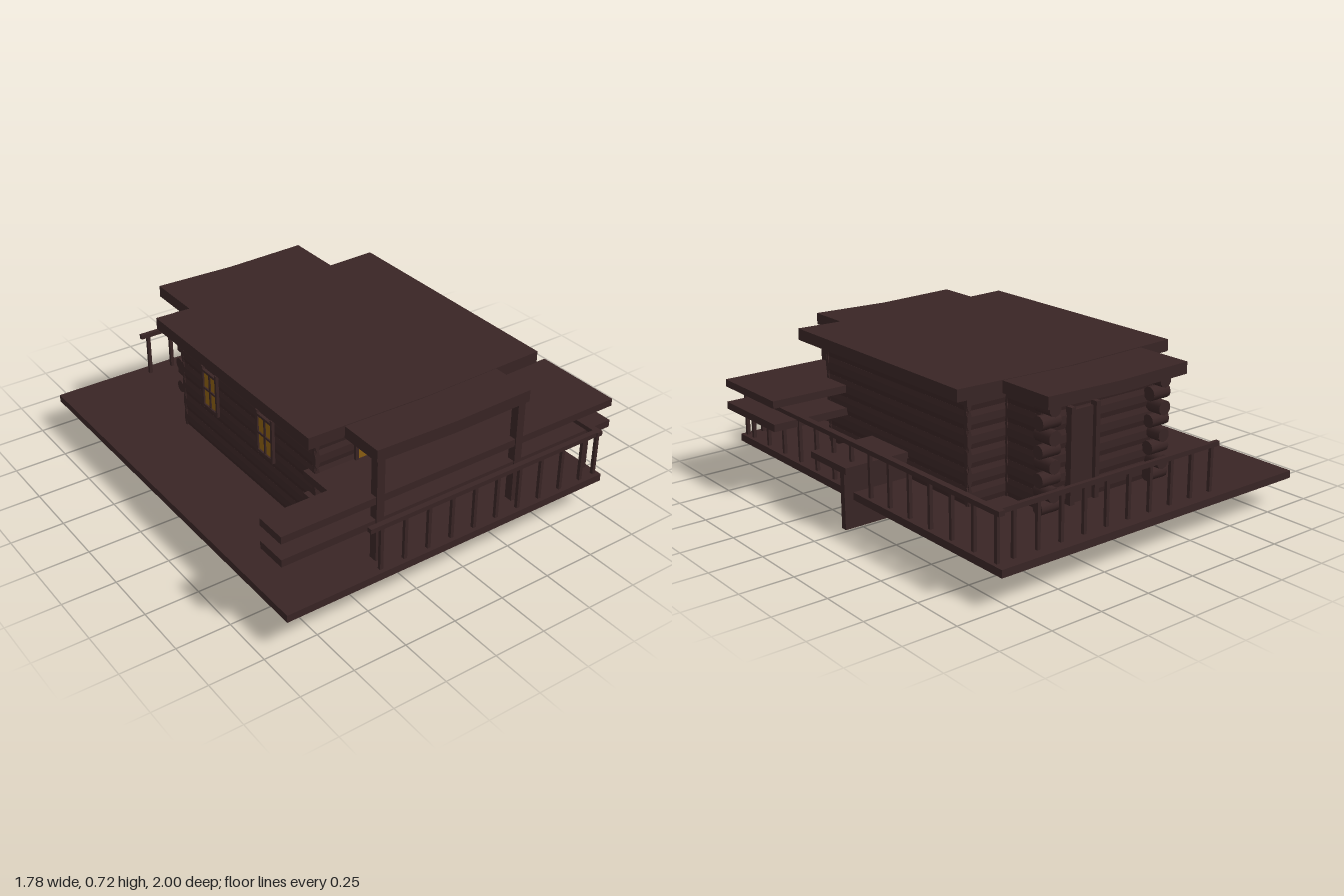
import * as THREE from 'three';

export function createModel() {
  const model = new THREE.Group();
  const wood = new THREE.MeshStandardMaterial({ color: 0x392525 });
  wood.name = 'darkWood';
  const glow = new THREE.MeshStandardMaterial({ color: 0x8b5e12 });
  glow.name = 'amberGlass';

  const add = (name, geometry, material = wood, parent = model) => {
    const mesh = new THREE.Mesh(geometry, material);
    mesh.name = name;
    parent.add(mesh);
    return mesh;
  };
  // Box given by its limits on each axis
  const box = (name, x0, x1, y0, y1, z0, z1, material = wood, parent = model) => {
    const g = new THREE.BoxGeometry(x1 - x0, y1 - y0, z1 - z0);
    g.translate((x0 + x1) / 2, (y0 + y1) / 2, (z0 + z1) / 2);
    return add(name, g, material, parent);
  };
  const group = (name) => {
    const g = new THREE.Group();
    g.name = name;
    model.add(g);
    return g;
  };

  // Deck, joists and the cross beam that passes through it
  const deckTop = 0.165;
  box('deck', -0.89, 0.785, 0.13, deckTop, -1, 1);
  for (const x of [-0.533, -0.043, 0.078, 0.573])
    box('joist', x - 0.023, x + 0.023, 0.065, 0.13, -0.64, 0.74);
  box('crossBeam', -0.48, 0.83, 0, 0.29, 0.015, 0.045);
  box('sideShelf', 0.48, 0.83, 0.26, 0.29, 0, 0.28);

  // Walls: a core faced with shallow rounded logs
  const eave = 0.67;
  const rows = 6;
  const pitch = (eave - deckTop) / rows;
  const logWall = (name, x0, x1, z0, z1) => {
    const g = group(name);
    const d = 0.012;
    box('wallCore', x0 + d, x1 - d, deckTop, eave, z0 + d, z1 - d, wood, g);
    for (let i = 0; i < rows; i++) {
      const y = deckTop + (i + 0.5) * pitch;
      const face = (length, alongX, x, z) => {
        const geo = new THREE.CylinderGeometry(pitch / 2, pitch / 2, length, 8).toNonIndexed();
        geo.rotateY(Math.PI / 8);
        geo.rotateZ(Math.PI / 2);
        geo.scale(1, 1.08, 0.3);
        if (!alongX) geo.rotateY(Math.PI / 2);
        geo.computeVertexNormals();
        geo.translate(x, y, z);
        add('wallLog', geo, wood, g);
      };
      for (const z of [z0 + d, z1 - d]) face(x1 - x0, true, (x0 + x1) / 2, z);
      for (const x of [x0 + d, x1 - d]) face(z1 - z0, false, x, (z0 + z1) / 2);
    }
  };
  logWall('house', -0.515, 0.505, -0.43, 0.65);
  logWall('backWing', -0.35, 0.3, -0.66, -0.42);

  // Crossed log ends at the corners of the back wing
  const corners = group('logCorners');
  for (const x of [-0.34, 0.29]) {
    for (let i = 0; i < 8; i++) {
      const alongX = i % 2 === 0;
      const r = 0.031 + 0.003 * ((i * 3) % 4) / 3;
      const geo = new THREE.CylinderGeometry(r, r, 0.1, 10);
      if (alongX) geo.rotateZ(Math.PI / 2);
      else geo.rotateX(Math.PI / 2);
      geo.translate(x, deckTop + 0.032 + i * 0.062, -0.685);
      add('logEnd', geo, wood, corners);
    }
  }

  // Back door with posts
  box('backDoor', 0.02, 0.14, deckTop, 0.58, -0.67, -0.655);
  for (const x of [0.01, 0.15])
    box('doorJamb', x - 0.012, x + 0.012, deckTop, 0.6, -0.69, -0.65);

  // Windows: thin glass plates with frame bars
  const windowAt = (x, y, z, w, h, turn) => {
    const g = group('window');
    g.position.set(x, y, z);
    g.rotation.y = turn;
    box('glass', -w / 2, w / 2, -h / 2, h / 2, 0, 0.006, glow, g);
    for (const s of [-1, 1]) {
      box('sideFrame', s * w / 2 - 0.007, s * w / 2 + 0.007, -h / 2 - 0.012, h / 2 + 0.02, 0, 0.014, wood, g);
      box('crossFrame', -w / 2, w / 2, s * h / 2 - 0.006, s * h / 2 + 0.006, 0, 0.014, wood, g);
    }
    return g;
  };
  for (const x of [-0.25, 0.187]) windowAt(x, 0.475, 0.651, 0.13, 0.17, 0);
  for (const z of [-0.16, 0.29]) {
    const g = windowAt(-0.517, 0.472, z, 0.115, 0.18, -Math.PI / 2);
    box('mullion', -0.005, 0.005, -0.09, 0.09, 0, 0.012, wood, g);
    box('transom', -0.057, 0.057, -0.005, 0.005, 0, 0.012, wood, g);
  }

  // Shallow valley roofs, dipping toward the middle
  const roof = (name, x0, x1, z0, z1, y, dip) => {
    const mid = (x0 + x1) / 2;
    const s = new THREE.Shape([
      [x0, y - 0.055], [mid, y - 0.055 - dip], [x1, y - 0.055],
      [x1, y], [mid, y - dip], [x0, y],
    ].map(([px, py]) => new THREE.Vector2(px, py)));
    const geo = new THREE.ExtrudeGeometry(s, { depth: z1 - z0, bevelEnabled: false });
    geo.translate(0, 0, z0);
    add(name, geo);
  };
  roof('mainRoof', -0.595, 0.605, -0.495, 0.72, 0.72, 0.013);
  roof('frontPorchRoof', -0.42, 0.37, 0.71, 0.935, 0.713, 0.009);
  roof('backPorchRoof', -0.42, 0.37, -0.78, -0.485, 0.713, 0.009);

  // Porch posts
  for (const x of [-0.39, 0.34])
    box('porchPost', x - 0.019, x + 0.019, deckTop, 0.67, 0.885, 0.925);

  // Two broad slabs around the front of the house
  for (const y of [0.335, 0.445]) {
    const g = group('frontSlab');
    box('slabArm', -0.86, -0.53, y, y + 0.035, 0.77, 0.92, wood, g);
    box('slabMiddle', -0.54, 0.5, y, y + 0.035, 0.6, 0.92, wood, g);
    box('slabEnd', 0.49, 0.89, y, y + 0.035, 0.485, 0.92, wood, g);
  }

  // Railing along the front, the left side and the back
  const rail = group('railing');
  const railPost = (x, z) =>
    box('railPost', x - 0.008, x + 0.008, deckTop, 0.375, z - 0.008, z + 0.008, wood, rail);
  box('frontRail', -0.48, 0.775, 0.368, 0.39, 0.96, 0.985, wood, rail);
  box('sideRail', 0.745, 0.775, 0.368, 0.39, -0.97, 0.99, wood, rail);
  box('backRail', -0.46, 0.775, 0.368, 0.39, -0.95, -0.93, wood, rail);
  for (let i = 0; i < 10; i++) {
    railPost(-0.42 + i * 0.122, 0.973);
    railPost(-0.42 + i * 0.122, -0.94);
  }
  for (let i = 0; i < 14; i++) railPost(0.76, -0.94 + i * 0.1425);
  railPost(0.76, 0.973);

  return model;
}
